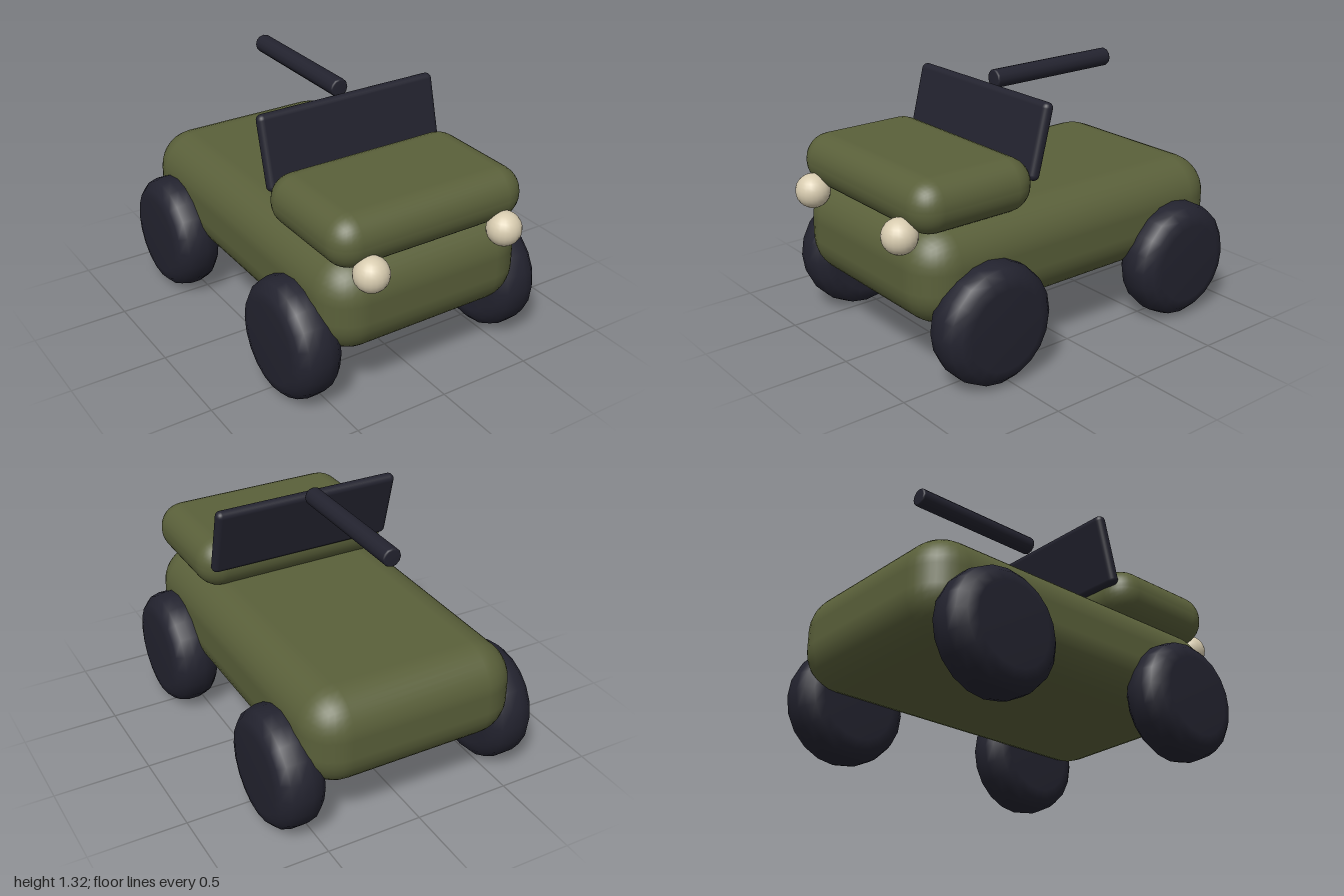
import * as THREE from 'three';
import { RoundedBoxGeometry } from 'three/addons/geometries/RoundedBoxGeometry.js';

const material = (name, color) => {
  const m = new THREE.MeshStandardMaterial({ color });
  m.name = name;
  return m;
};

export function createModel() {
  const olive = material('olive paint', 0x5a603a);
  const dark = material('dark rubber', 0x23232f);
  const cream = material('cream lamp', 0xd8ccb0);
  const model = new THREE.Group();
  model.name = 'openTruck';

  const add = (name, geometry, mat, x, y, z) => {
    const mesh = new THREE.Mesh(geometry, mat);
    mesh.name = name;
    mesh.position.set(x, y, z);
    model.add(mesh);
    return mesh;
  };

  // Solid of revolution with rounded rims; its axis runs along y
  const roundedDisc = (radius, length, bevel, sides, steps) => {
    const h = length / 2;
    const points = [new THREE.Vector2(0, -h)];
    for (const [cy, start] of [[-h + bevel, -Math.PI / 2], [h - bevel, 0]]) {
      for (let i = 0; i <= steps; i++) {
        const a = start + (i / steps) * Math.PI / 2;
        points.push(new THREE.Vector2(radius - bevel + bevel * Math.cos(a), cy + bevel * Math.sin(a)));
      }
    }
    points.push(new THREE.Vector2(0, h));
    return new THREE.LatheGeometry(points, sides);
  };

  // Body and bonnet
  add('body', new RoundedBoxGeometry(1.135, 0.5, 1.9, 4, 0.2), olive, 0, 0.535, -0.05);
  add('bonnet', new RoundedBoxGeometry(1.085, 0.27, 0.685, 4, 0.13), olive, 0, 0.89, 0.56);

  // Windscreen leaning back
  const screen = add('windscreen', new RoundedBoxGeometry(1.01, 0.38, 0.06, 3, 0.029), dark, 0, 1.08, 0.176);
  screen.rotation.x = -0.25;

  // Roof bar along the centre line
  const bar = add('roofBar', roundedDisc(0.048, 0.757, 0.01, 12, 2), dark, 0, 1.268, -0.303);
  bar.rotation.x = Math.PI / 2;

  // Wheels and headlights, mirrored left and right
  const wheelGeometry = roundedDisc(0.305, 0.255, 0.1, 20, 3);
  const lampGeometry = new THREE.SphereGeometry(0.087, 20, 14);
  for (const [side, s] of [['left', 1], ['right', -1]]) {
    for (const [end, z] of [['Front', 0.555], ['Rear', -0.658]]) {
      const wheel = add(`${side}${end}Wheel`, wheelGeometry, dark, s * 0.582, 0.305, z);
      wheel.rotation.z = -s * Math.PI / 2;
    }
    add(`${side}Headlight`, lampGeometry, cream, s * 0.38, 0.762, 0.913);
  }
  return model;
}
